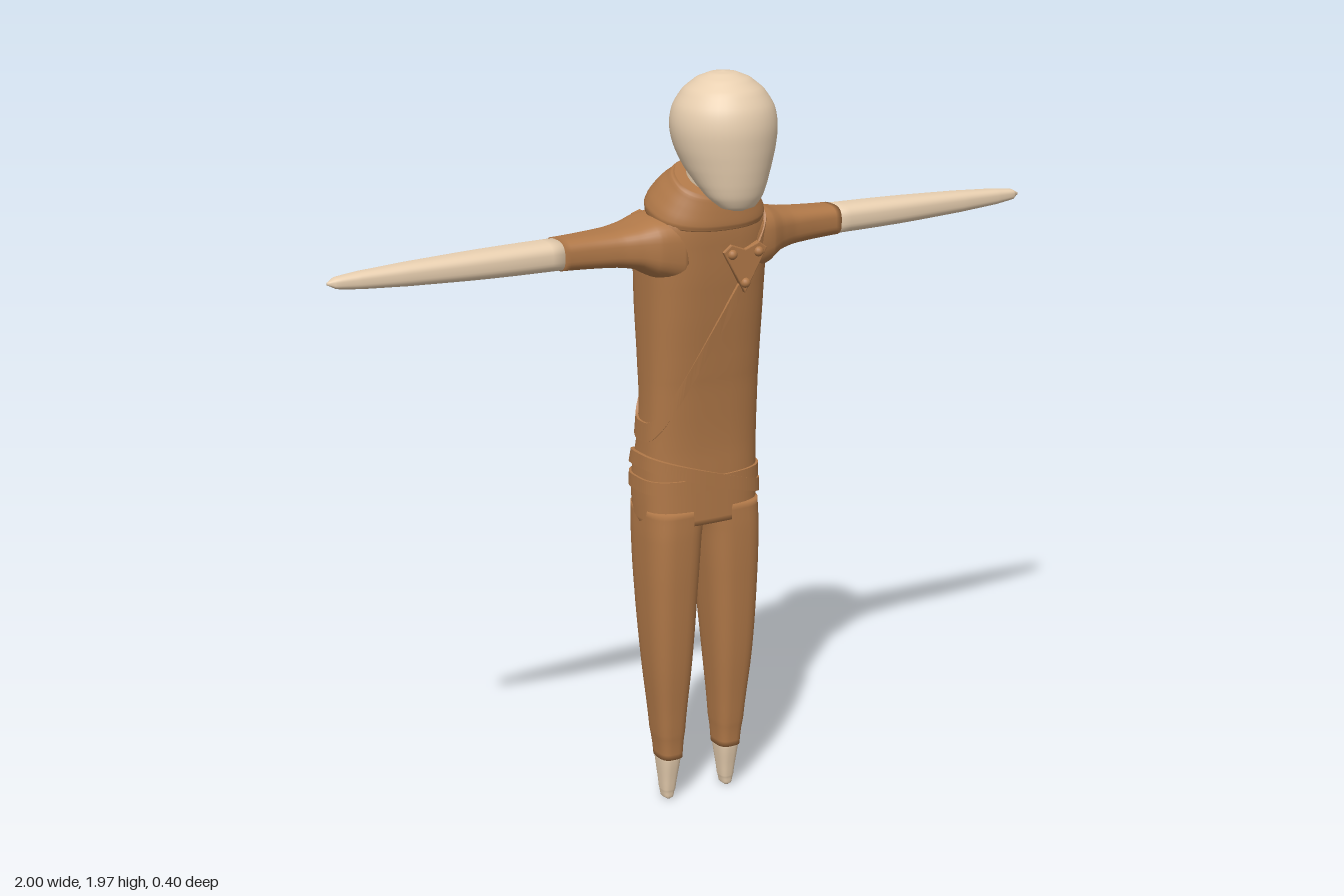
import * as THREE from 'three';

const cloth = new THREE.MeshStandardMaterial({ color: 0xb07848 });
const skin = new THREE.MeshStandardMaterial({ color: 0xe8cfb0 });

// Smooths rows of [t, aMin, aMax, bMin, bMax] by adding rows in between.
function smoothRows(rows, steps = 5) {
  const out = [];
  const at = (i) => rows[Math.max(0, Math.min(rows.length - 1, i))];
  for (let i = 0; i < rows.length - 1; i++) {
    for (let s = 0; s < steps; s++) {
      const f = s / steps;
      out.push(at(i).map((p1, k) => {
        if (k === 0) return p1 + (at(i + 1)[0] - p1) * f;
        const p0 = at(i - 1)[k], p2 = at(i + 1)[k], p3 = at(i + 2)[k];
        return p1 + 0.5 * f * (p2 - p0 + f * (2 * p0 - 5 * p1 + 4 * p2 - p3 + f * (3 * (p1 - p2) + p3 - p0)));
      }));
    }
  }
  out.push(rows[rows.length - 1]);
  return out;
}

// Point of a rounded-box ring: power 2 is an ellipse, higher is boxier.
function ringPoint([, a0, a1, b0, b1], angle, power) {
  const c = Math.cos(angle), s = Math.sin(angle), e = 2 / power;
  return [
    (a0 + a1) / 2 + Math.sign(c) * Math.abs(c) ** e * (a1 - a0) / 2,
    (b0 + b1) / 2 + Math.sign(s) * Math.abs(s) ** e * (b1 - b0) / 2,
  ];
}

// Surface through rounded rings along y (a = x, b = z) or along x (a = z, b = y).
function loft(axis, rows, power, sides = 40) {
  const dense = smoothRows(rows), pos = [], index = [];
  const put = (t, a, b) => (axis === 'y' ? pos.push(a, t, b) : pos.push(t, b, a));
  for (const row of dense) {
    for (let j = 0; j < sides; j++) put(row[0], ...ringPoint(row, j / sides * Math.PI * 2, power));
  }
  const first = dense[0], last = dense[dense.length - 1];
  for (const r of [first, last]) put(r[0], (r[1] + r[2]) / 2, (r[3] + r[4]) / 2);
  const bottom = dense.length * sides, top = bottom + 1, end = bottom - sides;
  for (let j = 0; j < sides; j++) {
    const k = (j + 1) % sides;
    for (let i = 0; i < dense.length - 1; i++) {
      const p = i * sides;
      index.push(p + j, p + sides + j, p + k, p + k, p + sides + j, p + sides + k);
    }
    index.push(bottom, j, k, top, end + k, end + j);
  }
  const g = new THREE.BufferGeometry();
  g.setAttribute('position', new THREE.Float32BufferAttribute(pos, 3));
  g.setIndex(index);
  g.computeVertexNormals();
  return g;
}

const torsoRows = [
  [0.79, -0.163, 0.163, -0.178, 0.02], [0.86, -0.164, 0.164, -0.188, 0.02],
  [0.92, -0.163, 0.163, -0.184, 0.02], [1.0, -0.16, 0.16, -0.16, 0.02],
  [1.1, -0.158, 0.158, -0.145, 0.026], [1.2, -0.159, 0.159, -0.153, 0.036],
  [1.4, -0.164, 0.164, -0.17, 0.058], [1.52, -0.165, 0.165, -0.166, 0.068],
  [1.59, -0.157, 0.157, -0.145, 0.07], [1.64, -0.115, 0.115, -0.11, 0.06],
];
const torsoDense = smoothRows(torsoRows);

// Torso ring at a given height.
function torsoAt(y) {
  let i = 0;
  while (i < torsoDense.length - 2 && torsoDense[i + 1][0] < y) i++;
  const p = torsoDense[i], q = torsoDense[i + 1];
  const f = THREE.MathUtils.clamp((y - p[0]) / (q[0] - p[0]), 0, 1);
  return p.map((v, k) => v + (q[k] - v) * f);
}

// Flat strap wrapped round the torso; its height depends on x.
function band(heightAt, half, out, sides = 96) {
  const pos = [], index = [];
  const corners = [[-half, -0.004], [-half, out], [half, out], [half, -0.004]];
  for (let j = 0; j < sides; j++) {
    const angle = j / sides * Math.PI * 2;
    const x = ringPoint([0, -0.165, 0.165, -1, 1], angle, 3)[0];
    for (const [dy, d] of corners) {
      const y = heightAt(x) + dy, [t, a0, a1, b0, b1] = torsoAt(y);
      const [px, pz] = ringPoint([t, a0 - d, a1 + d, b0 - d, b1 + d], angle, 3);
      pos.push(px, y, pz);
    }
    for (let c = 0; c < 4; c++) {
      const p = j * 4 + c, q = j * 4 + (c + 1) % 4, n = ((j + 1) % sides) * 4;
      index.push(p, q, n + c, n + c, q, n + (c + 1) % 4);
    }
  }
  const g = new THREE.BufferGeometry();
  g.setAttribute('position', new THREE.Float32BufferAttribute(pos, 3));
  g.setIndex(index);
  const flat = g.toNonIndexed();
  flat.computeVertexNormals();
  return flat;
}

export function createModel() {
  const model = new THREE.Group();
  const add = (name, geometry, material) => {
    const mesh = new THREE.Mesh(geometry, material);
    mesh.name = name;
    model.add(mesh);
    return mesh;
  };

  add('torso', loft('y', torsoRows, 3), cloth);

  // Head, with the face drawn down to the chin, and neck
  add('head', loft('y', [
    [1.636, -0.015, 0.015, 0.13, 0.15], [1.645, -0.046, 0.046, 0.105, 0.169],
    [1.67, -0.072, 0.072, 0.062, 0.181], [1.7, -0.09, 0.09, 0.022, 0.188],
    [1.74, -0.109, 0.109, -0.025, 0.194], [1.79, -0.126, 0.126, -0.056, 0.199],
    [1.84, -0.133, 0.133, -0.068, 0.2], [1.885, -0.125, 0.125, -0.06, 0.19],
    [1.925, -0.1, 0.1, -0.036, 0.165], [1.952, -0.067, 0.067, -0.003, 0.132],
    [1.965, -0.035, 0.035, 0.03, 0.1], [1.969, -0.003, 0.003, 0.062, 0.068],
  ], 2), skin);
  add('neck', loft('y', [[1.6, -0.07, 0.07, -0.09, 0.05], [1.78, -0.07, 0.07, -0.03, 0.11]], 2), skin);

  // Collar, leaning forward: each ring tips more than the one below it
  const collar = loft('y', [
    [1.595, -0.153, 0.153, -0.137, 0.082], [1.615, -0.153, 0.153, -0.135, 0.086],
    [1.66, -0.13, 0.13, -0.098, 0.084], [1.7, -0.108, 0.108, -0.058, 0.08],
    [1.712, -0.1, 0.1, -0.045, 0.075],
  ], 2.4);
  const cp = collar.attributes.position;
  for (let i = 0; i < cp.count; i++) {
    const tilt = THREE.MathUtils.mapLinear(cp.getY(i), 1.595, 1.712, 0.25, 0.65);
    cp.setY(i, cp.getY(i) - tilt * cp.getZ(i));
  }
  collar.computeVertexNormals();
  add('collar', collar, cloth);

  const sleeve = [
    [0.09, -0.15, 0.06, 1.43, 1.615], [0.16, -0.146, 0.052, 1.455, 1.605],
    [0.2, -0.137, 0.032, 1.477, 1.59], [0.25, -0.128, 0.012, 1.486, 1.58],
    [0.32, -0.12, -0.002, 1.49, 1.575], [0.4, -0.114, -0.009, 1.493, 1.572],
  ];
  const forearm = [
    [0.39, -0.112, -0.011, 1.495, 1.57], [0.6, -0.107, -0.015, 1.498, 1.567],
    [0.8, -0.097, -0.027, 1.505, 1.56], [0.92, -0.088, -0.038, 1.512, 1.553],
    [0.98, -0.081, -0.047, 1.519, 1.546], [1, -0.068, -0.06, 1.529, 1.536],
  ];
  const trouserLeg = [
    [0.125, 0.056, 0.121, -0.111, -0.028], [0.2, 0.05, 0.13, -0.12, -0.02],
    [0.4, 0.034, 0.15, -0.138, 0.001], [0.6, 0.02, 0.161, -0.16, 0.014],
    [0.75, 0.009, 0.164, -0.174, 0.02], [0.83, -0.002, 0.162, -0.18, 0.019],
  ];
  const foot = [
    [0, 0.085, 0.095, -0.08, -0.06], [0.006, 0.077, 0.104, -0.092, -0.053],
    [0.03, 0.071, 0.109, -0.096, -0.048], [0.14, 0.058, 0.12, -0.11, -0.03],
  ];
  const mirrorArm = (rows) => rows.map(([x, ...r]) => [-x, ...r]).reverse();
  const mirrorLeg = (rows) => rows.map(([y, a, b, ...r]) => [y, -b, -a, ...r]);
  for (const side of ['left', 'right']) {
    const arm = side === 'left' ? (r) => r : mirrorArm;
    const leg = side === 'left' ? (r) => r : mirrorLeg;
    add(side + 'Sleeve', loft('x', arm(sleeve), 3), cloth);
    add(side + 'Forearm', loft('x', arm(forearm), 2.8), skin);
    add(side + 'TrouserLeg', loft('y', leg(trouserLeg), 3), cloth);
    add(side + 'Foot', loft('y', leg(foot), 2.8), skin);
  }

  // Sash across chest and back, and two crossing belts
  add('sash', band((x) => 1.325 + 1.72 * x, 0.026, 0.006), cloth);
  add('levelBelt', band((x) => 0.9 + 0.02 * x, 0.018, 0.006), cloth);
  add('slantedBelt', band((x) => 0.91 - 0.32 * x, 0.018, 0.009), cloth);

  // Triangular clasp with three studs
  const triangle = new THREE.Shape([[0, 1.515], [0.06, 1.41], [0.12, 1.515], [0.1, 1.53], [0.06, 1.515], [0.02, 1.53]]
    .map(([x, y]) => new THREE.Vector2(x, y)));
  const clasp = add('clasp', new THREE.ExtrudeGeometry(triangle, {
    depth: 0.02, bevelEnabled: true, bevelSize: 0.003, bevelThickness: 0.003, bevelSegments: 2,
  }), cloth);
  clasp.position.z = 0.052;
  for (const [x, y] of [[0.022, 1.508], [0.098, 1.508], [0.06, 1.432]]) {
    const stud = add('claspStud', new THREE.SphereGeometry(0.013, 16, 10), cloth);
    stud.position.set(x, y, 0.074);
  }

  // Long panel hanging down the back
  const panel = new THREE.BoxGeometry(0.11, 0.46, 0.008, 1, 16, 1);
  panel.translate(0, 1.37, 0);
  const pp = panel.attributes.position;
  for (let i = 0; i < pp.count; i++) {
    const y = pp.getY(i);
    const back = y < 1.45 ? -0.188 : torsoAt(y)[3] - 0.014;
    pp.setZ(i, pp.getZ(i) + back);
  }
  panel.computeVertexNormals();
  add('backPanel', panel, cloth);

  // Short straps from the shoulders to the panel
  for (const s of [-1, 1]) {
    const strap = add('shoulderStrap', new THREE.BoxGeometry(0.026, 0.24, 0.016), cloth);
    strap.position.set(s * 0.082, 1.475, -0.166);
    strap.rotation.set(0.07, 0, -s * 0.33);
  }
  return model;
}
